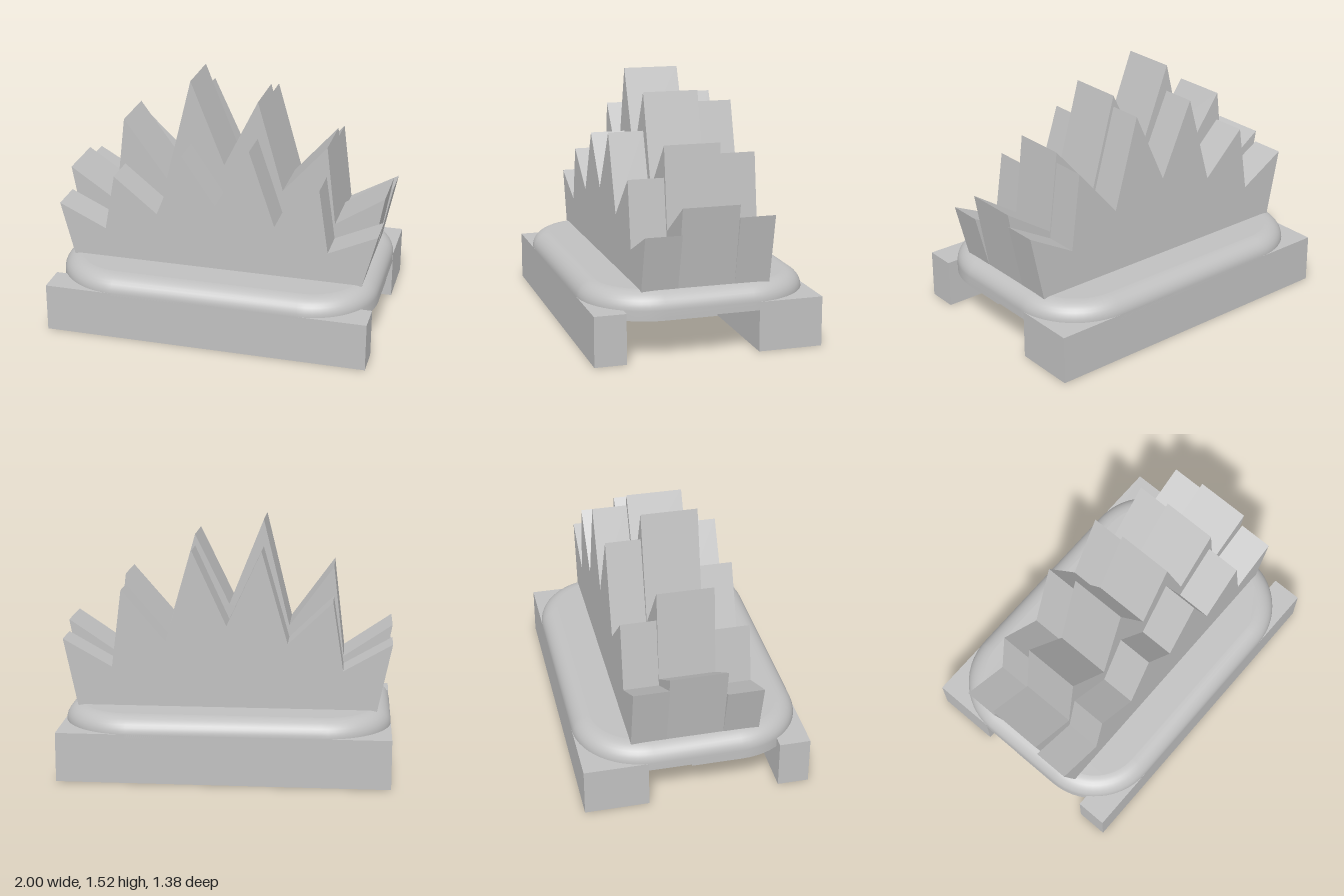
import * as THREE from 'three';

const grey = new THREE.MeshStandardMaterial({ color: 0xc0c0c0 });
grey.name = 'plain grey';

function add(group, name, geometry) {
  const mesh = new THREE.Mesh(geometry, grey);
  mesh.name = name;
  group.add(mesh);
  return mesh;
}

// Rounded rectangle in x and z, 2 by 1.38, pulled in by a given inset
function outline(inset) {
  const points = [], steps = 14, radius = 0.42 - inset;
  const centres = [[0.58, 0.27], [-0.58, 0.27], [-0.58, -0.27], [0.58, -0.27]];
  centres.forEach(([cx, cz], k) => {
    for (let i = 0; i <= steps; i++) {
      const a = (k + i / steps) * Math.PI / 2;
      points.push(new THREE.Vector2(cx + radius * Math.cos(a), cz + radius * Math.sin(a)));
    }
  });
  return points;
}

// Wall of the slab: straight below, rounded over to the top
function slabWall() {
  const rings = [[0, 0.25], [0, 0.3]];
  for (let i = 1; i <= 8; i++) {
    const a = (i / 8) * Math.PI / 2;
    rings.push([0.11 * (1 - Math.cos(a)), 0.3 + 0.1 * Math.sin(a)]);
  }
  const positions = [], index = [], n = outline(0).length;
  rings.forEach(([inset, y], r) => {
    outline(inset).forEach((p, j) => {
      positions.push(p.x, y, p.y);
      if (r === rings.length - 1) return;
      const a = r * n + j, b = r * n + (j + 1) % n;
      index.push(a, a + n, b, b, a + n, b + n);
    });
  });
  const geometry = new THREE.BufferGeometry();
  geometry.setAttribute('position', new THREE.Float32BufferAttribute(positions, 3));
  geometry.setIndex(index);
  geometry.computeVertexNormals();
  return geometry;
}

export function createModel() {
  const model = new THREE.Group();
  model.name = 'spiked block on a stand';

  // Two support bars: [name, back z, front z]
  for (const [name, z0, z1] of [['frontBar', 0.5, 0.69], ['backBar', -0.69, -0.3]]) {
    add(model, name, new THREE.BoxGeometry(2, 0.3, z1 - z0)).position.set(0, 0.15, (z0 + z1) / 2);
  }

  // Rounded slab
  const slab = new THREE.Group();
  slab.name = 'slab';
  model.add(slab);
  add(slab, 'slabRim', slabWall());
  add(slab, 'slabTop', new THREE.ShapeGeometry(new THREE.Shape(outline(0.11))).rotateX(-Math.PI / 2)).position.y = 0.4;
  add(slab, 'slabBottom', new THREE.ShapeGeometry(new THREE.Shape(outline(0))).rotateX(Math.PI / 2)).position.y = 0.25;

  // Shallow step under the front part of the slab
  const half = outline(0).filter((p) => p.y > 0);
  half.push(new THREE.Vector2(-1, -0.04), new THREE.Vector2(1, -0.04));
  const step = new THREE.ExtrudeGeometry(new THREE.Shape(half), { depth: 0.01, bevelEnabled: false });
  add(slab, 'slabStep', step.rotateX(Math.PI / 2)).position.y = 0.25;

  // Three jagged layers sharing the same x positions of peaks and valleys
  const xs = [-1, -0.705, -0.64, -0.37, -0.21, 0, 0.21, 0.37, 0.64, 0.7, 1];
  const layers = [
    ['frontSpikes', 0.17, 0.39, [0.73, 0.59, 0.945, 0.725, 1.125, 0.815, 1.195, 0.725, 0.99, 0.59, 0.73]],
    ['middleSpikes', -0.175, 0.17, [0.885, 0.685, 1.24, 0.87, 1.525, 1, 1.43, 0.87, 1.18, 0.685, 0.885]],
    ['backSpikes', -0.39, -0.175, [0.81, 0.64, 1.06, 0.8, 1.36, 0.905, 1.36, 0.8, 1.115, 0.64, 0.81]],
  ];
  for (const [name, z0, z1, ys] of layers) {
    const shape = new THREE.Shape();
    shape.moveTo(-0.91, 0.38);
    shape.lineTo(0.91, 0.38);
    for (let i = xs.length - 1; i >= 0; i--) shape.lineTo(xs[i], ys[i]);
    shape.closePath();
    add(model, name, new THREE.ExtrudeGeometry(shape, { depth: z1 - z0, bevelEnabled: false })).position.z = z0;
  }
  return model;
}
